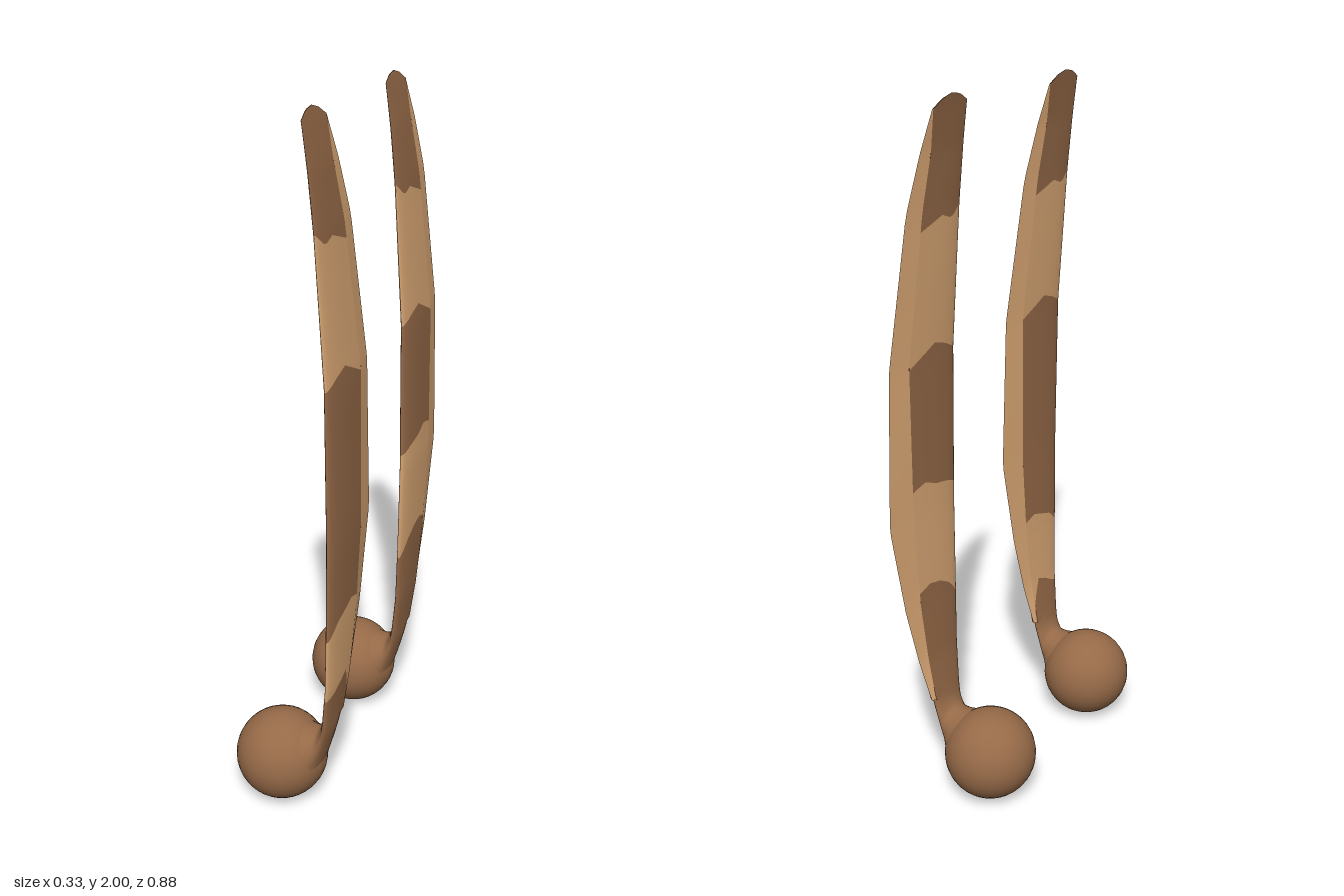
import * as THREE from 'three';

const dark = new THREE.MeshStandardMaterial({ color: 0x966a48, side: THREE.DoubleSide });
const light = new THREE.MeshStandardMaterial({ color: 0xdba875, side: THREE.DoubleSide });

// Blade stations: y, centre x, half thickness, z of thin edge, z of colour seam, z of thick edge
const STATIONS = [
  [0.29, 0.119, 0.014, 0.238, 0.246, 0.371],
  [0.42, 0.134, 0.014, 0.205, 0.235, 0.385],
  [0.60, 0.142, 0.015, 0.160, 0.215, 0.397],
  [0.87, 0.148, 0.017, 0.110, 0.200, 0.405],
  [1.31, 0.144, 0.015, 0.125, 0.197, 0.410],
  [1.71, 0.120, 0.010, 0.185, 0.245, 0.418],
  [1.86, 0.105, 0.006, 0.230, 0.272, 0.419],
  [1.97, 0.088, 0.002, 0.265, 0.267, 0.414],
  [2.00, 0.082, 0.001, 0.268, 0.268, 0.412],
];

function station(y) {
  let i = 0;
  while (i < STATIONS.length - 2 && y > STATIONS[i + 1][0]) i++;
  const a = STATIONS[i], b = STATIONS[i + 1];
  const k = (y - a[0]) / (b[0] - a[0]);
  return a.map((v, j) => v + (b[j] - v) * k);
}

// Grid surface from point(u, v), both running 0..1
function surface(point, nu, nv) {
  const pos = [], index = [];
  for (let j = 0; j <= nv; j++) {
    for (let i = 0; i <= nu; i++) pos.push(...point(i / nu, j / nv));
  }
  for (let j = 0; j < nv; j++) {
    for (let i = 0; i < nu; i++) {
      const a = j * (nu + 1) + i, c = a + nu + 1;
      index.push(a, c, a + 1, a + 1, c, c + 1);
    }
  }
  const g = new THREE.BufferGeometry();
  g.setAttribute('position', new THREE.Float32BufferAttribute(pos, 3));
  g.setIndex(index);
  g.computeVertexNormals();
  return g;
}

// Height of a wavy seam at chord fraction f, through evenly spaced heights
function wave(heights, f) {
  const s = Math.min(f, 0.9999) * (heights.length - 1), i = Math.floor(s);
  return heights[i] + (heights[i + 1] - heights[i]) * (s - i);
}

// Rounded main part of the blade, between two wavy seams
function band(lo, hi) {
  return surface((u, v) => {
    const a = u * Math.PI, f = Math.sin(a);
    const y = THREE.MathUtils.lerp(wave(lo, f), wave(hi, f), v);
    const [, x, t, , zSeam, zFront] = station(y);
    return [x + t * Math.cos(a) * (0.75 + 0.7 * f), y, zSeam + (zFront - zSeam) * f];
  }, 24, 14);
}

// One face of the thin edge strip; side is +1 outside, -1 inside
function edgeStrip(side) {
  return surface((u, v) => {
    const y = 0.29 + v * 1.68;
    const [, x, t, zThin, zSeam] = station(y);
    const k = side > 0 ? u : 1 - u;
    return [x + side * t * 0.75 * k, y, THREE.MathUtils.lerp(zThin, zSeam, k)];
  }, 1, 48);
}

// Neck rings: inner x, y, outer x, y, centre z, half width in z
const NECK = [
  [0.020, 0.245, 0.030, 0.025, 0.308, 0.105],
  [0.060, 0.243, 0.070, 0.065, 0.308, 0.078],
  [0.085, 0.250, 0.092, 0.130, 0.308, 0.060],
  [0.099, 0.272, 0.114, 0.205, 0.307, 0.058],
  [0.105, 0.300, 0.130, 0.270, 0.308, 0.062],
  [0.109, 0.330, 0.137, 0.330, 0.303, 0.071],
];

function neck() {
  const curves = [[0, 1], [2, 3], [4, 5]].map(([p, q]) =>
    new THREE.CatmullRomCurve3(NECK.map(r => new THREE.Vector3(r[p], r[q], 0))));
  return surface((u, v) => {
    const a = u * Math.PI * 2, c = (1 + Math.cos(a)) / 2;
    const [inner, outer, width] = curves.map(k => k.getPoint(v));
    return [
      inner.x + (outer.x - inner.x) * c,
      inner.y + (outer.y - inner.y) * c,
      width.x + width.y * Math.sin(a),
    ];
  }, 28, 20);
}

// Seams from the root to the tip, each listed from colour seam to thick edge
const ROOT = [0.29, 0.29];
const TIP = [1.968, 1.99, 2.0, 1.995, 1.975];
const TOP = [1.66, 1.675, 1.69, 1.675, 1.71];
const MIDDLE = [1.30, 1.325, 1.35, 1.335, 1.31];
const SEAMS = {
  front: [ROOT, [0.35, 0.435, 0.42, 0.40, 0.385], [0.645, 0.66, 0.645, 0.63, 0.585], MIDDLE, TOP, TIP],
  back: [ROOT, [0.64, 0.655, 0.645, 0.62, 0.57], [0.95, 0.965, 0.945, 0.935, 0.915], MIDDLE, TOP, TIP],
};

function pendant(name, seams) {
  const g = new THREE.Group();
  g.name = name;
  const add = (part, geometry, material) => {
    const m = new THREE.Mesh(geometry, material);
    m.name = part;
    g.add(m);
    return m;
  };
  add('ball', new THREE.SphereGeometry(0.1325, 32, 24), dark).position.set(-0.036, 0.1325, 0.3075);
  add('neck', neck(), dark);
  for (let i = 0; i < seams.length - 1; i++) {
    const isDark = i % 2 === 0;
    add(isDark ? 'darkBand' : 'lightBand', band(seams[i], seams[i + 1]), isDark ? dark : light);
  }
  add('outerEdge', edgeStrip(1), light);
  add('innerEdge', edgeStrip(-1), light);
  return g;
}

export function createModel() {
  const model = new THREE.Group();
  model.name = 'stripedBlades';
  const front = pendant('frontBlade', SEAMS.front);
  const back = pendant('backBlade', SEAMS.back);
  back.position.z = -0.55;
  model.add(front, back);
  return model;
}
